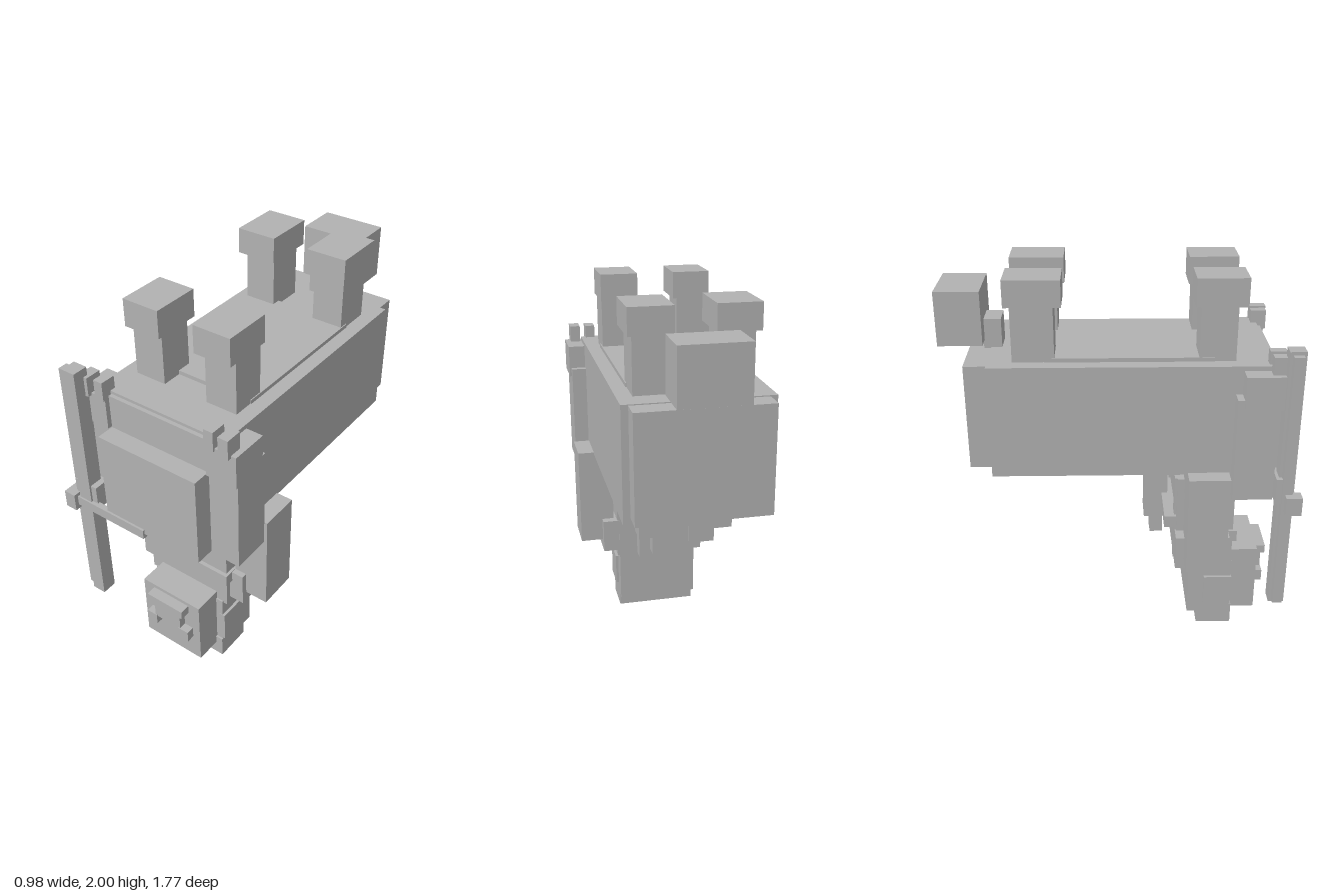
import * as THREE from 'three';

const AXIS = 0.04; // the body is symmetric about this x

export function createModel() {
  const group = new THREE.Group();
  group.name = 'invertedBlockCentaur';
  const stone = new THREE.MeshStandardMaterial({ color: 0xb2b2b2 });
  stone.name = 'grey';

  // box given by its [min, max] range on each axis
  const box = (name, x, y, z) => {
    const mesh = new THREE.Mesh(new THREE.BoxGeometry(x[1] - x[0], y[1] - y[0], z[1] - z[0]), stone);
    mesh.position.set((x[0] + x[1]) / 2, (y[0] + y[1]) / 2, (z[0] + z[1]) / 2);
    mesh.name = name;
    group.add(mesh);
  };
  // box of half width w on the symmetry axis
  const mid = (name, w, y, z) => box(name, [AXIS - w, AXIS + w], y, z);
  // two mirrored boxes, from a to b away from the symmetry axis
  const pair = (name, a, b, y, z) => {
    box(name + 'Left', [AXIS + a, AXIS + b], y, z);
    box(name + 'Right', [AXIS - b, AXIS - a], y, z);
  };

  // horse body
  mid('horseBody', 0.36, [1.02, 1.595], [-0.635, 0.74]);
  mid('bellyPlate', 0.29, [1.59, 1.615], [-0.36, 0.455]);
  mid('rump', 0.325, [1.055, 1.59], [-0.745, -0.63]);
  mid('tailRoot', 0.07, [1.58, 1.74], [-0.67, -0.58]);
  mid('tail', 0.165, [1.635, 1.905], [-0.885, -0.665]);

  // legs pointing up, with hooves
  pair('frontLeg', 0.12, 0.285, [1.58, 1.87], [0.38, 0.557]);
  pair('frontHoof', 0.096, 0.29, [1.862, 2], [0.355, 0.602]);
  pair('backLeg', 0.12, 0.285, [1.58, 1.88], [-0.515, -0.312]);
  pair('backHoof', 0.096, 0.308, [1.87, 2], [-0.543, -0.272]);

  // chest, forearms and hands
  mid('chestBlock', 0.28, [0.93, 1.58], [0.5, 0.76]);
  mid('chestPlate', 0.28, [0.93, 1.405], [0.75, 0.853]);
  pair('forearm', 0.27, 0.437, [0.917, 1.452], [0.555, 0.755]);
  pair('hand', 0.285, 0.447, [1.405, 1.573], [0.588, 0.78]);
  pair('innerFinger', 0.285, 0.335, [1.56, 1.66], [0.71, 0.79]);
  pair('outerFinger', 0.367, 0.42, [1.56, 1.66], [0.715, 0.8]);

  // upside-down upper body
  mid('waist', 0.255, [0.855, 1.04], [0.335, 0.655]);
  mid('torso', 0.245, [0.4, 0.93], [0.3, 0.602]);
  pair('backStrip', 0.17, 0.235, [0.45, 0.93], [0.287, 0.31]);
  mid('chestBelt', 0.26, [0.563, 0.625], [0.55, 0.622]);
  mid('shoulders', 0.325, [0.438, 0.622], [0.293, 0.575]);
  pair('upperArm', 0.26, 0.447, [0.495, 1.03], [0.338, 0.545]);

  // quiver on the back
  mid('backStrap', 0.255, [0.65, 0.715], [0.235, 0.297]);
  box('quiver', [0.04, 0.19], [0.567, 1.03], [0.14, 0.267]);
  box('arrowA', [0.07, 0.107], [0.45, 0.58], [0.175, 0.245]);
  box('arrowB', [0.142, 0.182], [0.438, 0.58], [0.175, 0.245]);

  // head
  mid('headFront', 0.18, [0.08, 0.457], [0.5, 0.753]);
  mid('headSides', 0.22, [0.12, 0.41], [0.44, 0.61]);
  mid('headBack', 0.222, [0.08, 0.457], [0.376, 0.452]);
  mid('crown', 0.22, [0.004, 0.125], [0.43, 0.62]);
  pair('ear', 0.2, 0.235, [0.138, 0.313], [0.462, 0.613]);
  mid('snout', 0.083, [0.28, 0.42], [0.74, 0.792]);
  mid('jaw', 0.112, [0.388, 0.437], [0.74, 0.808]);
  pair('tusk', 0.072, 0.135, [0.223, 0.287], [0.74, 0.796]);

  // bow staff with its arrow
  box('staff', [-0.42, -0.345], [0.315, 1.703], [0.775, 0.855]);
  box('staffEdge', [-0.455, -0.415], [0.33, 1.688], [0.79, 0.84]);
  box('staffGrip', [-0.445, -0.312], [0.92, 1.053], [0.76, 0.845]);
  box('arrowShaft', [-0.44, -0.005], [0.905, 0.957], [0.832, 0.864]);
  box('arrowTip', [-0.495, -0.43], [0.88, 0.975], [0.805, 0.885]);

  return group;
}
